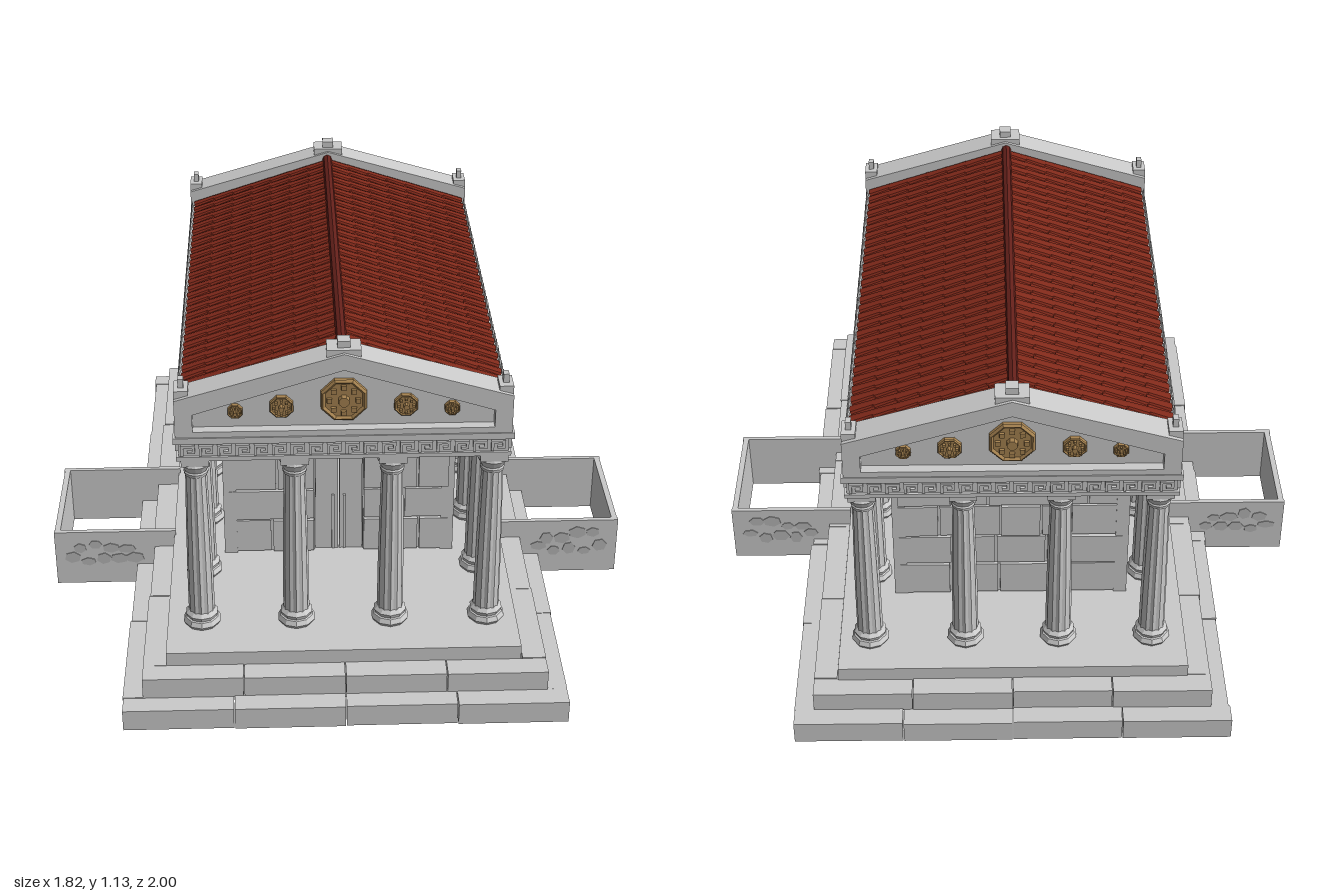
import * as THREE from 'three';
import { mergeGeometries } from 'three/addons/utils/BufferGeometryUtils.js';

const mat = (color, extra = {}) => new THREE.MeshStandardMaterial({ color, ...extra });
const stone = mat(0xcccccc, { flatShading: true });
const pebbleMat = mat(0xb8b8b8, { flatShading: true });
const tileMat = mat(0x80291a, { flatShading: true, side: THREE.DoubleSide });
const ridgeMat = mat(0x64201a, { flatShading: true });
const goldMat = mat(0xa58250, { flatShading: true });

let seed = 7;
const rnd = (a, b) => {
  seed = (seed * 16807) % 2147483647;
  return a + (b - a) * seed / 2147483647;
};
// Box given by its extents
const box = (x0, x1, y0, y1, z0, z1) =>
  new THREE.BoxGeometry(x1 - x0, y1 - y0, z1 - z0).translate((x0 + x1) / 2, (y0 + y1) / 2, (z0 + z1) / 2);
const merge = list => mergeGeometries(list.map(g => (g.index ? g.toNonIndexed() : g)));
function add(parent, name, geos, material = stone) {
  const m = new THREE.Mesh(Array.isArray(geos) ? merge(geos) : geos, material);
  m.name = name;
  parent.add(m);
  return m;
}
const poly = pts => new THREE.Shape(pts.map(p => new THREE.Vector2(...p)));
const extrude = (shape, depth) => new THREE.ExtrudeGeometry(shape, { depth, bevelEnabled: false });

// Hollow ring of long stone blocks with narrow joints
function stepRing(hx, hz, y0, y1, t) {
  const out = [], gap = 0.0015;
  for (const s of [-1, 1]) {
    for (let i = 0; i < 5; i++) {
      const o = hx + rnd(-0.006, 0.003), z = -hz + t, l = 2 * (hz - t) / 5;
      out.push(box(Math.min(s * o, s * (hx - t)), Math.max(s * o, s * (hx - t)), y0, y1 - rnd(0, 0.004), z + i * l + gap, z + i * l + l - gap));
    }
    for (let i = 0; i < 4; i++) {
      const o = hz - rnd(0, 0.006), l = 2 * hx / 4;
      out.push(box(-hx + i * l + gap, -hx + i * l + l - gap, y0, y1 - rnd(0, 0.004), Math.min(s * o, s * (hz - t)), Math.max(s * o, s * (hz - t))));
    }
  }
  return out;
}

// Wall in the u-y plane facing +z: a core plate with an opening and raised blocks
function blockWall(u0, u1, rows, hole) {
  const [a, b, c, d] = hole || [0, 0, 0, 0];
  const out = [], gap = 0.0035;
  const core = (p, q, y0, y1) => out.push(box(p, q, y0, y1, -0.03, 0));
  if (hole) {
    core(u0, a, 0.18, 0.77);
    core(b, u1, 0.18, 0.77);
    core(a, b, d, 0.77);
    if (c > 0.18) core(a, b, 0.18, c);
  } else core(u0, u1, 0.18, 0.77);
  for (let r = 0; r < rows.length - 1; r++) {
    const [y0, y1] = [rows[r], rows[r + 1]];
    const cut = hole && y0 < d - 0.01 && y1 > c + 0.01;
    for (const [s, e] of cut ? [[u0, a], [b, u1]] : [[u0, u1]]) {
      for (let u = s; u < e - 0.001;) {
        let v = u + rnd(0.09, 0.2);
        if (v > e - 0.06) v = e;
        out.push(box(u + gap, v - gap, y0 + gap, y1 - gap, 0, rnd(0.008, 0.014)));
        u = v;
      }
    }
  }
  return merge(out);
}

// Fluted column with a chunky base and flared capital, standing on y = 0
function columnGeometry() {
  const shaft = new THREE.CylinderGeometry(0.031, 0.039, 0.5, 24, 3, true).translate(0, 0.285, 0);
  const p = shaft.attributes.position;
  for (let i = 0; i < p.count; i++) {
    const swell = 1 + 0.05 * Math.sin(Math.PI * (p.getY(i) - 0.035) / 0.5);
    const k = swell * ((i % 25) % 2 ? 0.92 : 1);
    p.setX(i, p.getX(i) * k);
    p.setZ(i, p.getZ(i) * k);
  }
  const lathe = (pts, n) => new THREE.LatheGeometry(pts.map(q => new THREE.Vector2(...q)), n);
  const base = lathe([[0, 0], [0.05, 0], [0.057, 0.012], [0.05, 0.026], [0.045, 0.028], [0.049, 0.04], [0.038, 0.052], [0, 0.052]], 10);
  const cap = lathe([[0, 0.525], [0.034, 0.525], [0.036, 0.535], [0.033, 0.54], [0.044, 0.562], [0.04, 0.57], [0, 0.57]], 12);
  return merge([shaft, base, cap, box(-0.04, 0.04, 0.568, 0.59, -0.04, 0.04)]);
}

// Gable with a recessed field, rosettes and roof ornaments, facing +z
function makeGable() {
  const g = new THREE.Group(), T = 0.088;
  const frame = poly([[-0.475, 0.835], [0.475, 0.835], [0.475, 0.96], [0, 1.1], [-0.475, 0.96]]);
  const field = [[-0.425, 0.86], [0.425, 0.86], [0.425, 0.915], [0, 1.05], [-0.425, 0.915]];
  frame.holes.push(new THREE.Path(field.map(q => new THREE.Vector2(...q))));
  add(g, 'gableFrame', extrude(frame, T));
  add(g, 'gableField', extrude(poly(field), T - 0.03));
  const rosettes = [];
  for (const [x, y, r] of [[0, 0.945, 0.07], [0.175, 0.925, 0.036], [-0.175, 0.925, 0.036], [0.305, 0.912, 0.023], [-0.305, 0.912, 0.023]]) {
    const disc = (rad, h, n, dx = 0, dy = 0) => new THREE.CylinderGeometry(rad * 0.85, rad, h, n)
      .rotateY(Math.PI / n).rotateX(Math.PI / 2).translate(x + dx, y + dy, T - 0.03 + h / 2);
    rosettes.push(disc(r, 0.01, 8), disc(r * 0.26, 0.026, 8));
    rosettes.push(new THREE.TorusGeometry(r * 0.9, r * 0.1, 4, 8).rotateZ(Math.PI / 8).translate(x, y, T - 0.02));
    for (let i = 0; i < 8; i++) {
      const a = i * Math.PI / 4;
      rosettes.push(disc(r * 0.17, 0.018, 4, Math.cos(a) * r * 0.58, Math.sin(a) * r * 0.58));
    }
  }
  add(g, 'rosettes', rosettes, goldMat);
  const orn = [box(-0.048, 0.048, 1.075, 1.108, 0.01, 0.078), box(-0.018, 0.018, 1.108, 1.128, 0.025, 0.063)];
  for (const s of [-1, 1]) {
    const x = s * 0.455;
    orn.push(box(x - 0.02, x + 0.02, 0.945, 0.985, 0.012, 0.076), box(x - 0.008, x + 0.008, 0.985, 1.012, 0.032, 0.056));
  }
  add(g, 'roofOrnaments', orn);
  return g;
}

// Open stone enclosure beside the steps, extending towards +x
function makeEnclosure(z0, z1) {
  const g = new THREE.Group(), t = 0.015, h = 0.195, pebbles = [];
  add(g, 'enclosureWalls', [box(0.52, 0.91, 0, h, z0, z0 + t), box(0.52, 0.91, 0, h, z1 - t, z1), box(0.89, 0.908, 0, h, z0 + t, z1 - t)]);
  for (let i = 0; i < 9; i++) {
    const top = i > 4, u = -0.1 + 0.05 * (i % 5) + (top ? 0.025 : 0), y = (top ? 0.14 : 0.09) + rnd(-0.012, 0.012);
    const chip = () => new THREE.CylinderGeometry(1, 1, 0.005, 6).rotateX(Math.PI / 2)
      .rotateZ(rnd(0, 3)).scale(rnd(0.02, 0.031), rnd(0.014, 0.024), 1);
    pebbles.push(chip().translate(0.755 + u, y, z1), chip().translate(0.755 + u, y, z0));
    pebbles.push(chip().rotateY(Math.PI / 2).translate(0.908, y, (z0 + z1) / 2 + u));
  }
  add(g, 'pebbles', pebbles, pebbleMat);
  return g;
}

export function createModel() {
  seed = 7;
  const root = new THREE.Group();
  root.name = 'temple';

  // Stepped base: block rings around a solid platform, with a groove between them underneath
  add(root, 'lowerStep', stepRing(0.652, 1, 0, 0.072, 0.065));
  add(root, 'middleStep', stepRing(0.595, 0.94, 0.068, 0.137, 0.07));
  add(root, 'platform', box(-0.525, 0.52, 0.003, 0.178, -0.875, 0.868));

  // Side enclosures
  const left = makeEnclosure(-0.16, 0.235);
  left.name = 'leftEnclosure';
  const right = makeEnclosure(-0.25, 0.14);
  right.name = 'rightEnclosure';
  right.rotation.y = Math.PI;
  root.add(left, right);

  // Columns around all four sides
  const columns = new THREE.Group(), colGeo = columnGeometry();
  columns.name = 'columns';
  const zs = [0.71, 0.445, 0.15, -0.14, -0.45, -0.74];
  zs.forEach((z, i) => {
    for (const x of i % 5 ? [-0.422, 0.428] : [-0.422, -0.14, 0.14, 0.428])
      add(columns, 'column', colGeo).position.set(x, 0.177, z);
  });
  root.add(columns);

  // Inner chamber
  const chamber = new THREE.Group();
  chamber.name = 'chamber';
  const rows = [0.18, 0.3, 0.41, 0.53, 0.65, 0.77], sideRows = [0.18, 0.29, 0.4, 0.51, 0.605, 0.7, 0.77];
  add(chamber, 'frontWall', blockWall(-0.345, 0.345, rows, [-0.075, 0.075, 0.18, 0.53])).position.z = 0.345;
  const back = add(chamber, 'backWall', blockWall(-0.345, 0.345, rows));
  back.rotation.y = Math.PI;
  back.position.z = -0.535;
  const lw = add(chamber, 'leftWall', blockWall(-0.345, 0.535, sideRows, [-0.24, -0.07, 0.51, 0.7]));
  lw.rotation.y = Math.PI / 2;
  lw.position.x = 0.345;
  const rw = add(chamber, 'rightWall', blockWall(-0.535, 0.345, sideRows, [0.07, 0.24, 0.51, 0.7]));
  rw.rotation.y = -Math.PI / 2;
  rw.position.x = -0.345;
  const posts = [];
  for (const s of [-1, 1]) {
    for (const z of [0.335, -0.525]) posts.push(box(s * 0.34 - 0.02, s * 0.34 + 0.02, 0.177, 0.77, z - 0.02, z + 0.02));
    posts.push(box(s * 0.345 - 0.015, s * 0.345 + 0.015, 0.177, 0.77, -0.09, -0.05));
  }
  add(chamber, 'pilasters', posts);
  add(chamber, 'doors', [box(-0.073, -0.002, 0.177, 0.53, 0.32, 0.337), box(0.002, 0.073, 0.177, 0.53, 0.32, 0.337),
    box(-0.022, -0.014, 0.18, 0.38, 0.337, 0.343), box(0.014, 0.022, 0.18, 0.38, 0.337, 0.343)]);
  root.add(chamber);

  // Beam with a key-pattern frieze
  const zc = -0.018;
  add(root, 'beam', [box(-0.468, 0.468, 0.765, 0.828, zc - 0.762, zc + 0.762), box(-0.475, 0.475, 0.765, 0.778, zc - 0.769, zc + 0.769),
    box(-0.482, 0.482, 0.822, 0.842, zc - 0.773, zc + 0.773)]);
  const keys = [];
  const frieze = (half, dist, turn) => {
    const n = Math.round(half * 2 / 0.052), w = half * 2 / n;
    for (let i = 0; i < n; i++) {
      const u = -half + i * w;
      for (const [a, b, c, d] of [[0.004, 0.012, 0.782, 0.816], [0.012, 0.044, 0.808, 0.816], [0.036, 0.044, 0.79, 0.808], [0.022, 0.036, 0.79, 0.797]])
        keys.push(box(u + a, u + b, c, d, dist - 0.002, dist + 0.009).rotateY(turn).translate(0, 0, zc));
    }
  };
  for (const t of [0, Math.PI]) {
    frieze(0.465, 0.762, t);
    frieze(0.76, 0.468, t + Math.PI / 2);
  }
  add(root, 'frieze', keys);

  // Gables
  const front = makeGable();
  front.name = 'frontGable';
  front.position.z = 0.663;
  const rear = makeGable();
  rear.name = 'backGable';
  rear.position.z = -0.7;
  rear.rotation.y = Math.PI;
  root.add(front, rear);

  // Roof body, overlapping tiles and a row of small eave ornaments
  const hl = 0.682, slope = Math.atan2(0.15, 0.46), len = 0.478;
  add(root, 'roofBody', extrude(poly([[-0.468, 0.84], [0.468, 0.84], [0.468, 0.908], [0, 1.061], [-0.468, 0.908]]), hl * 2)).position.z = zc - hl;
  const tiles = [], eaves = [], courses = 7, count = 29, L = len / courses, pitch = hl * 2 / count;
  for (let c = 0; c < courses; c++) {
    tiles.push(box(-L / 2 - 0.004, L / 2, -0.004, 0.004, -hl, hl).rotateZ(-0.05).translate((c + 0.5) * L, 0, 0));
    for (let i = 0; i < count; i++)
      tiles.push(new THREE.CylinderGeometry(0.017, 0.021, L * 1.06, 4, 1, true, 0, Math.PI)
        .rotateZ(Math.PI / 2).scale(1, 0.65, 1).rotateZ(-0.05).translate((c + 0.5) * L, 0.001, -hl + (i + 0.5) * pitch));
  }
  for (let i = 0; i < count; i++)
    for (const s of [-1, 1])
      eaves.push(new THREE.ConeGeometry(0.016, 0.034, 4).scale(0.4, 1, 1).translate(s * 0.469, 0.919, zc - hl + (i + 0.5) * pitch));
  const half = merge(tiles).rotateZ(-slope);
  add(root, 'leftRoofTiles', half.clone().translate(0.002, 1.069, zc), tileMat);
  add(root, 'rightRoofTiles', half.clone().rotateY(Math.PI).translate(-0.002, 1.069, zc), tileMat);
  add(root, 'ridge', new THREE.CylinderGeometry(0.016, 0.016, hl * 2, 8).rotateX(Math.PI / 2).translate(-0.003, 1.075, zc), ridgeMat);
  add(root, 'eaveOrnaments', eaves);
  return root;
}
